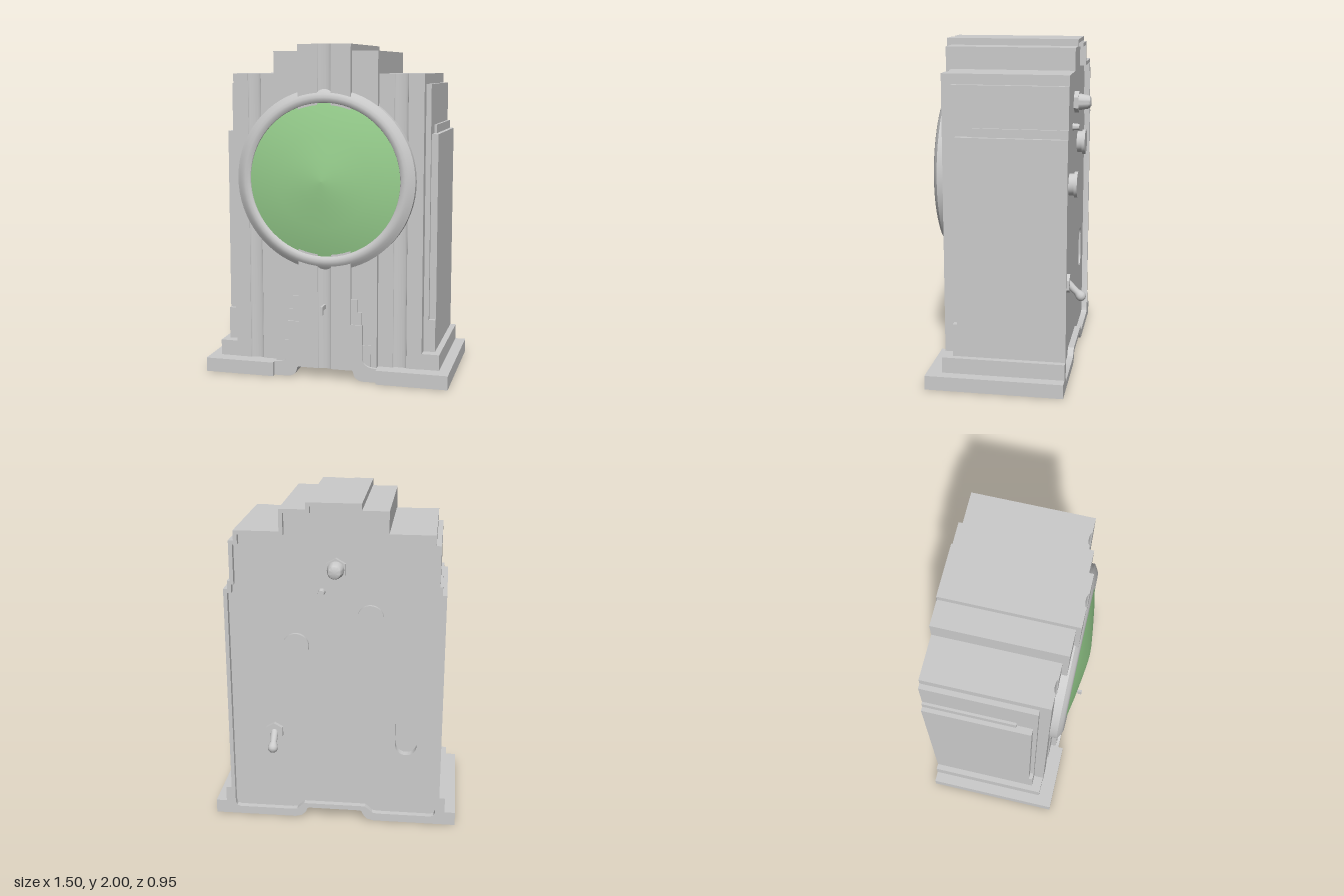
import * as THREE from 'three';
import { toCreasedNormals } from 'three/addons/utils/BufferGeometryUtils.js';

const grey = new THREE.MeshStandardMaterial({ color: 0xcccccc });
const green = new THREE.MeshStandardMaterial({ color: 0x98d08e });
const BACK = -0.3; // where the case meets the rear rim
const PANEL = -0.348; // face of the recessed back panel

export function createModel() {
  const root = new THREE.Group();

  function add(name, geo, x = 0, y = 0, z = 0, mat = grey) {
    const mesh = new THREE.Mesh(geo, mat);
    mesh.name = name;
    mesh.position.set(x, y, z);
    root.add(mesh);
    return mesh;
  }
  const box = (name, x0, x1, y0, y1, z0, z1) =>
    add(name, new THREE.BoxGeometry(x1 - x0, y1 - y0, z1 - z0), (x0 + x1) / 2, (y0 + y1) / 2, (z0 + z1) / 2);
  // Same box on both sides
  const pair = (name, x0, x1, y0, y1, z0, z1) => {
    box(name + 'Left', x0, x1, y0, y1, z0, z1);
    box(name + 'Right', -x1, -x0, y0, y1, z0, z1);
  };
  // Front outline extruded from z0 to z1
  const slab = (name, shape, z0, z1) => {
    const g = new THREE.ExtrudeGeometry(shape, { depth: z1 - z0, bevelEnabled: false, curveSegments: 12 });
    return add(name, toCreasedNormals(g, 0.5), 0, 0, z0);
  };
  // Upright pillar, its plan cut by a shallow concave flute
  const pillar = (name, x0, x1, y0, y1, front, fluteX) => {
    const s = new THREE.Shape();
    s.moveTo(x0, BACK);
    s.lineTo(x1, BACK);
    s.lineTo(x1, front);
    if (fluteX !== undefined) {
      s.lineTo(fluteX + 0.041, front);
      s.absellipse(fluteX, front, 0.041, 0.013, 0, Math.PI, true);
    }
    s.lineTo(x0, front);
    s.closePath();
    const g = new THREE.ExtrudeGeometry(s, { depth: y1 - y0, bevelEnabled: false, curveSegments: 16 });
    g.rotateX(Math.PI / 2);
    add(name, toCreasedNormals(g, 0.5), 0, y1, 0);
  };
  // Round part with its axis along z; profile holds [radius, z]
  const turned = (name, profile, x, y, z, mat = grey, segments = 72, crease = 0.6) => {
    const g = new THREE.LatheGeometry(profile.map(p => new THREE.Vector2(...p)), segments);
    g.rotateX(Math.PI / 2);
    return add(name, crease ? toCreasedNormals(g, crease) : g, x, y, z, mat);
  };

  // Stepped fluted front
  pillar('centrePillar', -0.16, 0.16, 0.065, 2, 0.405, 0);
  for (const s of [1, -1]) {
    const side = s > 0 ? 'Left' : 'Right';
    const span = (a, b) => (s > 0 ? [a, b] : [-b, -a]);
    pillar('innerPillar' + side, ...span(0.16, 0.315), 0.08, 1.96, 0.377);
    pillar('outerPillar' + side, ...span(0.315, 0.58), 0.08, 1.83, 0.343, s * 0.447);
  }

  // Layered side panels
  pair('shoulderPanel', 0.58, 0.61, 0.18, 1.77, BACK, 0.28);
  pair('sideStrip', 0.61, 0.625, 1.48, 1.53, BACK, 0.16);
  pair('sidePanel', 0.61, 0.65, 0.375, 1.48, BACK, 0.255);
  pair('sidePanelFoot', 0.61, 0.65, 0.18, 0.375, BACK, 0.28);

  // Plinth and base
  pair('plinth', 0.5, 0.685, 0.085, 0.18, BACK, 0.34);
  pair('base', 0.32, 0.75, 0, 0.085, BACK, 0.43);

  // Stepped trim and curved feet beside the centre pillar
  for (const s of [1, -1]) {
    const side = s > 0 ? 'Left' : 'Right';
    const poly = pts => new THREE.Shape(pts.map(([x, y]) => new THREE.Vector2(s * x, y)));
    slab('upperTrim' + side, poly([[0.16, 0.5], [0.2, 0.5], [0.2, 0.42], [0.225, 0.42], [0.225, 0.2], [0.16, 0.2]]), 0.3, 0.39);
    slab('lowerTrim' + side, poly([[0.16, 0.22], [0.28, 0.22], [0.28, 0.08], [0.16, 0.08]]), 0.3, 0.382);
    const foot = new THREE.Shape();
    foot.moveTo(s * 0.16, 0.345);
    foot.lineTo(s * 0.23, 0.345);
    foot.lineTo(s * 0.23, 0.14);
    foot.quadraticCurveTo(s * 0.235, 0.085, s * 0.32, 0.085);
    foot.lineTo(s * 0.32, 0);
    foot.lineTo(s * 0.245, 0);
    foot.quadraticCurveTo(s * 0.19, 0, s * 0.178, 0.04);
    foot.quadraticCurveTo(s * 0.175, 0.065, s * 0.16, 0.065);
    foot.closePath();
    slab('foot' + side, foot, BACK, 0.398);
  }

  // Rear rim around a recessed back panel; the half outlines run down the left side
  const symmetric = half => new THREE.Shape(
    [...half.map(([x, y]) => [-x, y]), ...half.slice().reverse()].map(p => new THREE.Vector2(...p)));
  const rim = symmetric([
    [0.16, 2], [0.16, 1.96], [0.315, 1.96], [0.315, 1.83], [0.58, 1.83], [0.58, 1.77], [0.61, 1.77],
    [0.61, 1.53], [0.625, 1.53], [0.625, 1.48], [0.65, 1.48], [0.65, 0.18], [0.685, 0.18], [0.685, 0.085],
    [0.75, 0.085], [0.75, 0], [0.245, 0], [0.205, 0.01], [0.178, 0.04], [0.172, 0.058], [0.16, 0.065]]);
  const inner = [
    [0.137, 1.977], [0.137, 1.937], [0.292, 1.937], [0.292, 1.807], [0.557, 1.807], [0.557, 1.747],
    [0.587, 1.747], [0.587, 1.507], [0.602, 1.507], [0.602, 1.457], [0.627, 1.457], [0.627, 0.08],
    [0.618, 0.058], [0.597, 0.05], [0.265, 0.05], [0.235, 0.055], [0.21, 0.08], [0.19, 0.095]];
  rim.holes.push(symmetric(inner));
  slab('rearRim', rim, -0.385, BACK);
  const panel = symmetric(inner);
  const slot = new THREE.Path();
  slot.absarc(-0.435, 0.64, 0.065, 0, Math.PI, false);
  slot.absarc(-0.435, 0.51, 0.065, Math.PI, Math.PI * 2, false);
  slot.closePath();
  panel.holes.push(slot);
  slab('backPanel', panel, PANEL, BACK);

  // Dial bezel and domed glass
  turned('bezel', [[0.54, 0.3], [0.54, 0.388], [0.522, 0.4], [0.505, 0.411], [0.486, 0.418],
    [0.468, 0.415], [0.456, 0.407], [0.45, 0.39]], 0, 1.207, 0);
  turned('glass', [[0.455, 0.402], [0.38, 0.421], [0.28, 0.44], [0.14, 0.461], [0.05, 0.472], [0, 0.475]], 0, 1.207, 0, green, 72, 0);

  // Small hooked catch on the front
  box('catchBar', -0.007, 0.007, 0.435, 0.462, 0.36, 0.475);
  box('catchTip', -0.007, 0.007, 0.41, 0.435, 0.448, 0.475);

  // Rear controls
  const nut = (name, r, x, y) =>
    turned(name, [[0, PANEL - 0.028], [r, PANEL - 0.028], [r, PANEL + 0.01]], x, y, 0, grey, 6, 0.2);
  nut('knobNut', 0.066, -0.01, 1.612);
  turned('knob', [[0, -0.45], [0.024, -0.449], [0.036, -0.443], [0.042, -0.43], [0.05, -0.385], [0.05, PANEL]],
    -0.01, 1.612, 0, grey, 32);
  turned('pin', [[0, -0.388], [0.018, -0.388], [0.022, PANEL]], 0.075, 1.47, 0, grey, 20);
  for (const [x, y] of [[-0.215, 1.332], [0.225, 1.145]])
    turned('rearButton', [[0, -0.4], [0.078, -0.4], [0.078, -0.38], [0.066, -0.38], [0.066, PANEL]], x, y, 0, grey, 40);

  // Toggle switch
  nut('toggleNut', 0.058, 0.37, 0.572);
  const lever = turned('toggleLever', [[0, -0.142], [0.015, -0.139], [0.027, -0.128], [0.031, -0.112],
    [0.027, -0.094], [0.02, -0.075], [0.024, 0]], 0.37, 0.575, -0.36, grey, 24, 0);
  lever.rotation.x = -0.77;

  return root;
}
